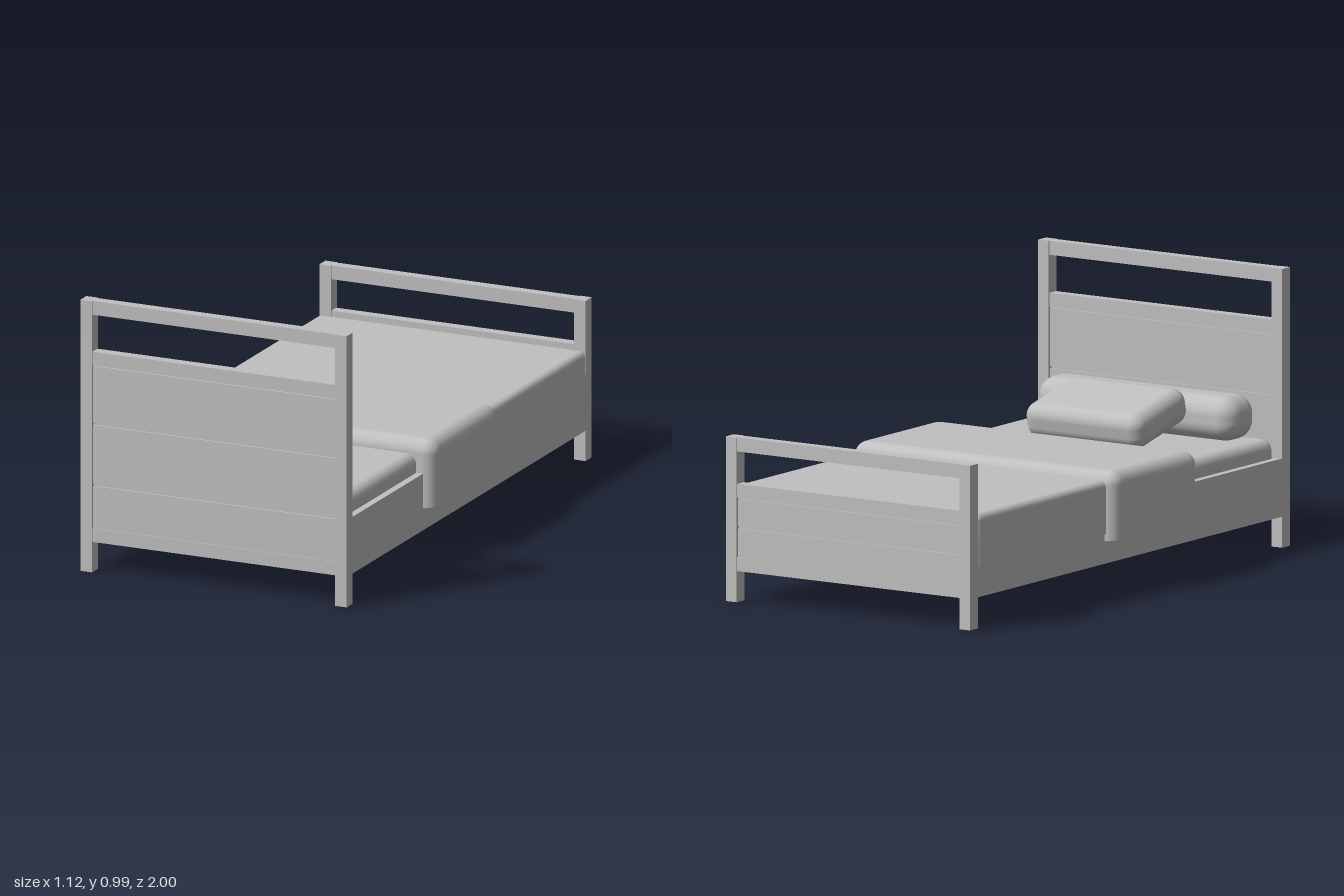
import * as THREE from 'three';
import { RoundedBoxGeometry } from 'three/addons/geometries/RoundedBoxGeometry.js';

const grey = new THREE.MeshStandardMaterial({ color: 0xc0c0c0 });
grey.name = 'plain grey';

function add(parent, name, geometry, x, y, z) {
  const mesh = new THREE.Mesh(geometry, grey);
  mesh.name = name;
  mesh.position.set(x, y, z);
  parent.add(mesh);
  return mesh;
}

// Box given by its limits on each axis
function block(parent, name, [x0, x1], [y0, y1], [z0, z1]) {
  return add(parent, name, new THREE.BoxGeometry(x1 - x0, y1 - y0, z1 - z0),
    (x0 + x1) / 2, (y0 + y1) / 2, (z0 + z1) / 2);
}

// Rounded cloth block whose lower edge is flattened to a small radius
function cloth(parent, name, [x0, x1], [y0, y1], [z0, z1], r) {
  const h = y1 - y0 + 0.7 * r;
  const geometry = new RoundedBoxGeometry(x1 - x0, h, z1 - z0, 4, r);
  const p = geometry.attributes.position;
  const limit = -h / 2 + r;
  for (let i = 0; i < p.count; i++) {
    if (p.getY(i) < limit) p.setY(i, limit + (p.getY(i) - limit) * 0.3);
  }
  return add(parent, name, geometry, (x0 + x1) / 2, y1 - h / 2, (z0 + z1) / 2);
}

// Head or foot board: two posts, an open top rail, and planks between two rails
function board(name, z, height, panelTop, seams) {
  const group = new THREE.Group();
  group.name = name;
  const inner = [-0.47, 0.47];
  const rail = [z - 0.02, z + 0.02];
  for (const s of [-1, 1]) {
    block(group, 'post', [s * 0.4925 - 0.0225, s * 0.4925 + 0.0225], [0, height], [z - 0.025, z + 0.025]);
  }
  block(group, 'topRail', inner, [height - 0.05, height], rail);
  block(group, 'panelRail', inner, [panelTop - 0.05, panelTop], rail);
  block(group, 'bottomRail', inner, [0.11, 0.16], rail);
  block(group, 'backing', inner, [0.15, panelTop - 0.02], [z - 0.009, z + 0.009]);
  const edges = [0.16, ...seams, panelTop - 0.05];
  for (let i = 0; i + 1 < edges.length; i++) {
    block(group, 'plank', inner, [edges[i] + (i ? 0.004 : 0), edges[i + 1] - 0.004], [z - 0.016, z + 0.016]);
  }
  return group;
}

export function createModel() {
  const bed = new THREE.Group();
  bed.name = 'bed';

  bed.add(board('headboard', 0.975, 0.99, 0.805, [0.317, 0.54]));
  bed.add(board('footboard', -0.975, 0.585, 0.42, [0.265]));

  // Side rails
  for (const s of [-1, 1]) {
    block(bed, 'sideRail', [s * 0.5 - 0.014, s * 0.5 + 0.014], [0.11, 0.317], [-0.95, 0.95]);
  }

  // Deck and cross slats
  block(bed, 'deck', [-0.487, 0.487], [0.175, 0.21], [-0.955, 0.955]);
  for (let i = -2; i <= 2; i++) {
    block(bed, 'slat', [-0.487, 0.487], [0.155, 0.176], [i * 0.42 - 0.03, i * 0.42 + 0.03]);
  }

  // Bedding
  cloth(bed, 'mattress', [-0.488, 0.488], [0.2, 0.385], [-0.94, 0.95], 0.04);
  cloth(bed, 'duvet', [-0.52, 0.52], [0.21, 0.405], [-0.955, 0.36], 0.025);
  cloth(bed, 'foldedBlanket', [-0.56, 0.56], [0.18, 0.437], [-0.16, 0.375], 0.05);

  // Pillows
  add(bed, 'bolster', new RoundedBoxGeometry(0.84, 0.16, 0.178, 4, 0.068), 0, 0.461, 0.861);
  const cushion = add(bed, 'cushion', new RoundedBoxGeometry(0.495, 0.13, 0.33, 4, 0.05), 0.003, 0.477, 0.618);
  cushion.rotation.x = -0.22;

  return bed;
}
